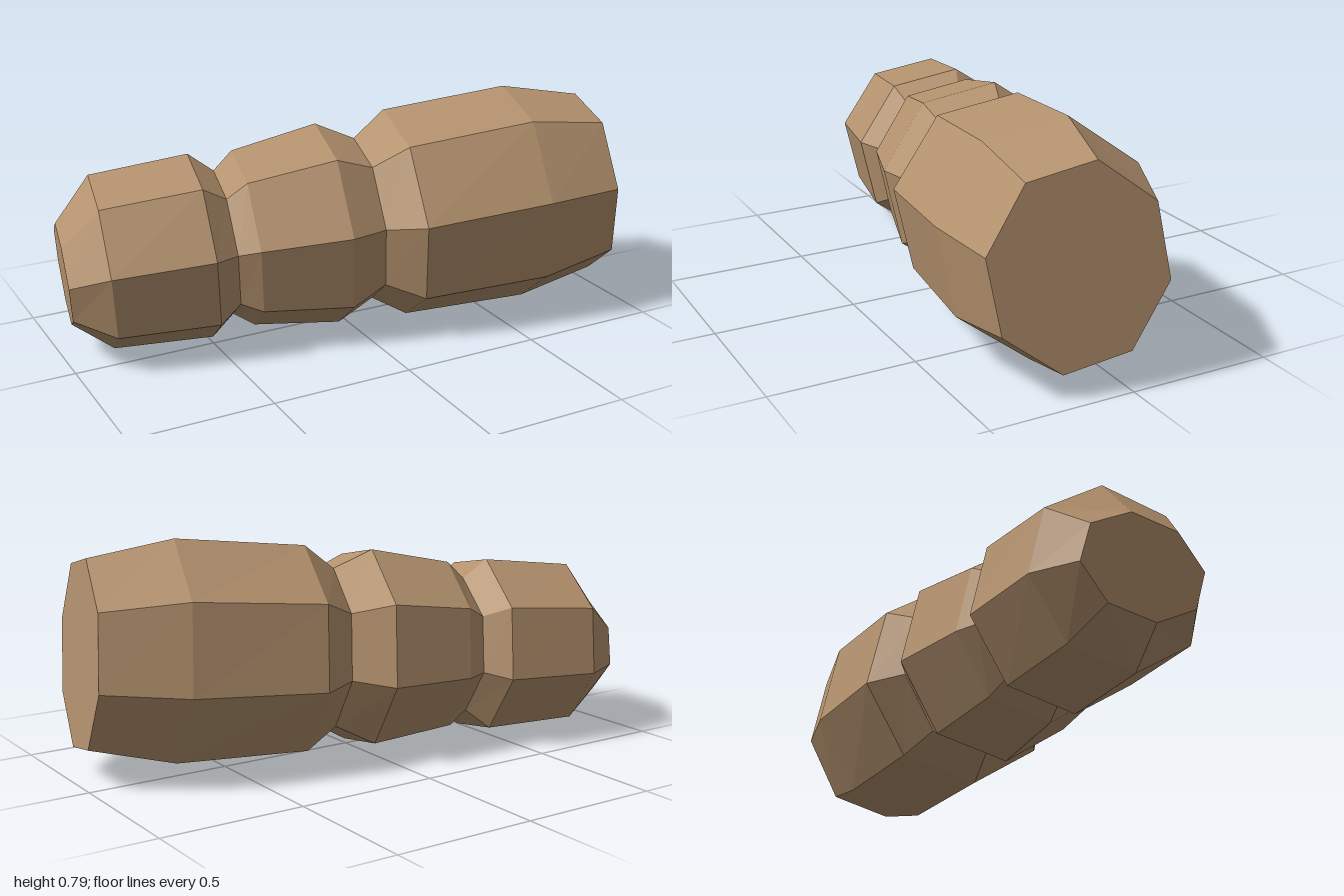
import * as THREE from 'three';

const SIDES = 8;
const PHASE = 0.202; // twist of the octagon around the long axis

// Cross-sections: centre x, y, z, then half depth (z) and half height (y)
const SEGMENTS = {
  tipSegment: [
    [-0.965, 0.29, -0.185, 0.22, 0.174],
    [-0.835, 0.315, -0.165, 0.311, 0.306],
    [-0.495, 0.333, -0.103, 0.324, 0.329],
    [-0.415, 0.338, -0.085, 0.26, 0.258],
  ],
  middleSegment: [
    [-0.415, 0.338, -0.085, 0.26, 0.258],
    [-0.345, 0.345, -0.073, 0.298, 0.316],
    [-0.04, 0.363, -0.02, 0.347, 0.365],
    [0.09, 0.37, 0.01, 0.276, 0.296],
  ],
  baseSegment: [
    [0.09, 0.37, 0.01, 0.276, 0.296],
    [0.208, 0.38, 0.033, 0.37, 0.378],
    [0.663, 0.41, 0.113, 0.36, 0.398],
    [0.943, 0.423, 0.168, 0.29, 0.334],
  ],
};

// Octagon corner on a plane square to the slanted long axis
function corner([cx, cy, cz, rz, ry], j) {
  const t = PHASE + (j / SIDES) * Math.PI * 2;
  const dy = ry * Math.sin(t);
  const dz = rz * Math.cos(t);
  return [cx - 0.07 * dy - 0.2 * dz, cy + dy, cz + dz];
}

// Faceted skin through the sections, with optional flat end caps
function loft(sections, capStart, capEnd) {
  const pos = [];
  const first = sections[0];
  const last = sections[sections.length - 1];
  for (let j = 0; j < SIDES; j++) {
    for (let i = 0; i < sections.length - 1; i++) {
      const a = corner(sections[i], j);
      const b = corner(sections[i + 1], j);
      const c = corner(sections[i + 1], j + 1);
      const d = corner(sections[i], j + 1);
      pos.push(...a, ...b, ...c, ...a, ...c, ...d);
    }
    if (capStart) pos.push(...first.slice(0, 3), ...corner(first, j), ...corner(first, j + 1));
    if (capEnd) pos.push(...last.slice(0, 3), ...corner(last, j + 1), ...corner(last, j));
  }
  const geometry = new THREE.BufferGeometry();
  geometry.setAttribute('position', new THREE.Float32BufferAttribute(pos, 3));
  geometry.computeVertexNormals();
  return geometry;
}

export function createModel() {
  const group = new THREE.Group();
  group.name = 'segmentedLog';
  const tan = new THREE.MeshStandardMaterial({ color: 0xb4926e, flatShading: true });
  tan.name = 'tan';

  // Three bulging segments that meet at the grooves
  for (const [name, sections] of Object.entries(SEGMENTS)) {
    const mesh = new THREE.Mesh(loft(sections, name === 'tipSegment', name === 'baseSegment'), tan);
    mesh.name = name;
    group.add(mesh);
  }
  return group;
}
